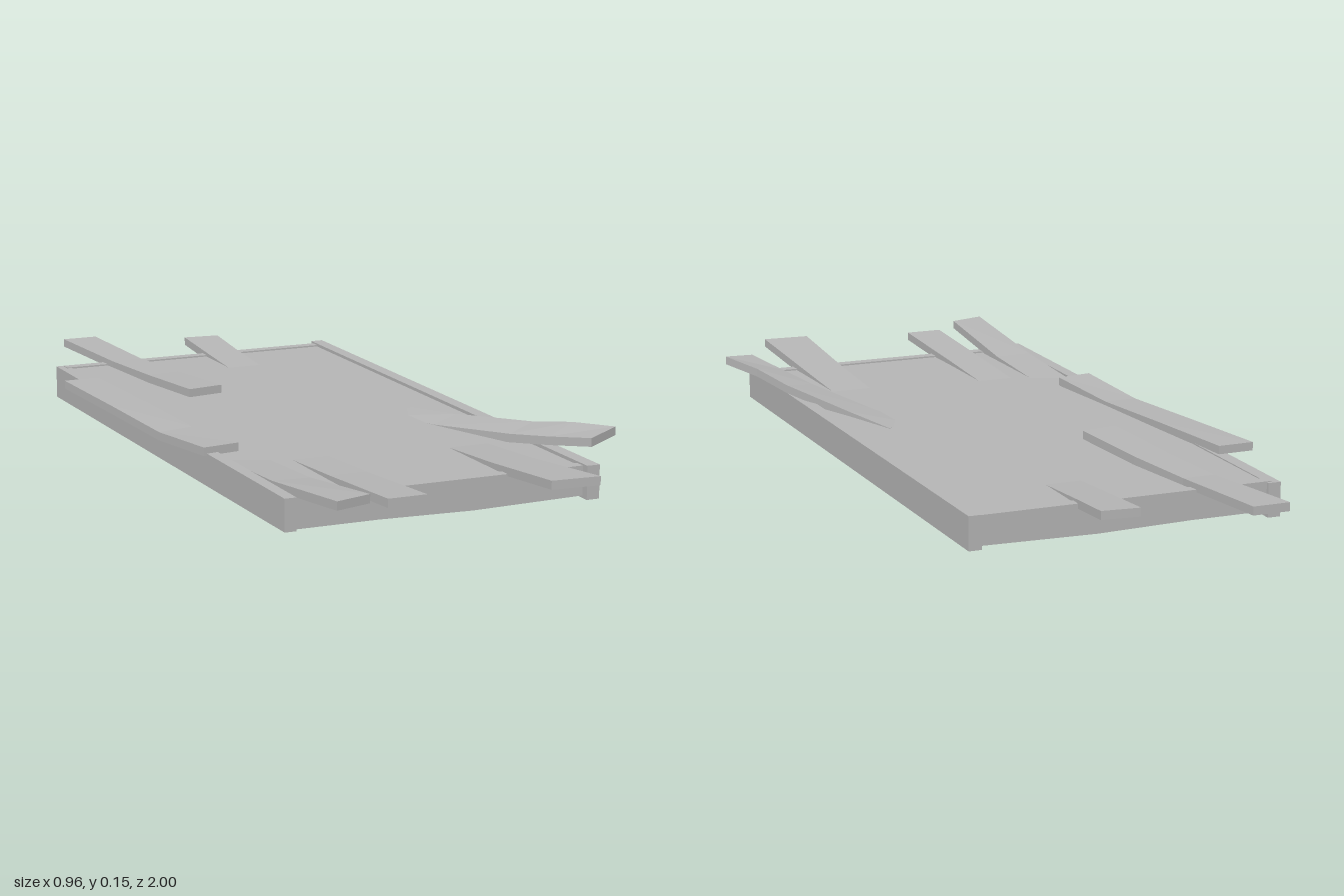
import * as THREE from 'three';

const wood = new THREE.MeshStandardMaterial({ color: 0xb6b6b6 });
wood.name = 'plain grey wood';

// Board lofted through sections [xLeft, zLeft, xRight, zRight, topLeft, topRight, thickness]
function board(name, sections, thickness = 0.021) {
  const pos = [];
  const quad = (a, b, c, d) => pos.push(...a, ...b, ...c, ...a, ...c, ...d);
  const rings = sections.map(([xl, zl, xr, zr, yl, yr, t = thickness]) => [
    [xl, yl, zl], [xr, yr, zr], [xr, yr - t, zr], [xl, yl - t, zl],
  ]);
  for (let i = 0; i < rings.length - 1; i++) {
    for (let k = 0; k < 4; k++) {
      const n = (k + 1) % 4;
      quad(rings[i][k], rings[i + 1][k], rings[i + 1][n], rings[i][n]);
    }
  }
  quad(...rings[0]);
  quad(...rings[rings.length - 1].slice().reverse());
  const geo = new THREE.BufferGeometry();
  geo.setAttribute('position', new THREE.Float32BufferAttribute(pos, 3));
  geo.computeVertexNormals();
  const mesh = new THREE.Mesh(geo, wood);
  mesh.name = name;
  return mesh;
}

export function createModel() {
  const model = new THREE.Group();
  model.name = 'brokenPlankPlatform';

  // Recessed deck, open underneath
  const deck = new THREE.Mesh(new THREE.BoxGeometry(0.745, 0.03, 1.5), wood);
  deck.name = 'deck';
  deck.position.set(-0.018, 0.067, 0.011);
  model.add(deck);

  // Long side rails, the left one slightly tilted
  model.add(board('rightRail', [
    [-0.408, -0.768, -0.376, -0.768, 0.084, 0.084, 0.084],
    [-0.414, 0.79, -0.385, 0.79, 0.09, 0.09, 0.078],
  ]));
  model.add(board('leftRail', [
    [0.35, -0.77, 0.382, -0.77, 0.09, 0.09, 0.082],
    [0.347, 0.803, 0.38, 0.803, 0.09, 0.09, 0.082],
  ]));

  // End rails with a slight sag along the lower edge
  for (const [name, z] of [['backRail', -0.745], ['frontRail', 0.768]]) {
    model.add(board(name, [[-0.39, 0.072], [-0.18, 0.072], [0.06, 0.077], [0.355, 0.072]].map(
      ([x, h]) => [x, z + 0.014, x, z - 0.014, 0.086, 0.086, h])));
  }

  // Loose planks, listed from back to front
  model.add(board('backLongPlank', [
    [-0.305, -1.0, -0.212, -1.0, 0.107, 0.107],
    [-0.27, -0.7, -0.187, -0.7, 0.099, 0.099],
    [-0.25, -0.48, -0.16, -0.49, 0.103, 0.103],
    [-0.23, -0.24, -0.135, -0.256, 0.112, 0.112],
  ]));
  model.add(board('backShortPlank', [
    [0.018, -0.9, 0.113, -0.89, 0.104, 0.104],
    [0.016, -0.75, 0.108, -0.75, 0.094, 0.094],
    [0.014, -0.45, 0.104, -0.45, 0.074, 0.074],
  ]));
  model.add(board('sidePlank', [
    [-0.48, -0.493, -0.387, -0.495, 0.106, 0.106],
    [-0.458, -0.2, -0.365, -0.2, 0.098, 0.1],
    [-0.438, 0.08, -0.347, 0.07, 0.089, 0.092],
    [-0.42, 0.328, -0.326, 0.314, 0.104, 0.104],
  ]));
  model.add(board('frontOuterPlank', [
    [-0.383, 0.3, -0.29, 0.3, 0.078, 0.076],
    [-0.384, 0.65, -0.289, 0.65, 0.095, 0.093],
    [-0.38, 0.995, -0.288, 0.967, 0.13, 0.13],
  ]));
  model.add(board('frontMiddlePlank', [
    [-0.242, 0.35, -0.149, 0.35, 0.077, 0.077],
    [-0.242, 0.65, -0.149, 0.65, 0.093, 0.093],
    [-0.239, 0.955, -0.143, 0.955, 0.111, 0.111],
  ]));
  model.add(board('frontWidePlank', [
    [0.149, 0.4, 0.252, 0.4, 0.077, 0.077],
    [0.149, 0.7, 0.258, 0.7, 0.095, 0.095],
    [0.149, 0.99, 0.27, 0.998, 0.119, 0.119],
  ]));

  // Plank curling up over the edge
  model.add(board('curledPlank', [
    [0.17, 0.1, 0.255, 0.06, 0.077, 0.083],
    [0.222, 0.26, 0.305, 0.22, 0.083, 0.094],
    [0.305, 0.5, 0.39, 0.46, 0.104, 0.118],
    [0.345, 0.62, 0.43, 0.58, 0.12, 0.139],
    [0.39, 0.745, 0.477, 0.705, 0.139, 0.15],
  ]));

  return model;
}
